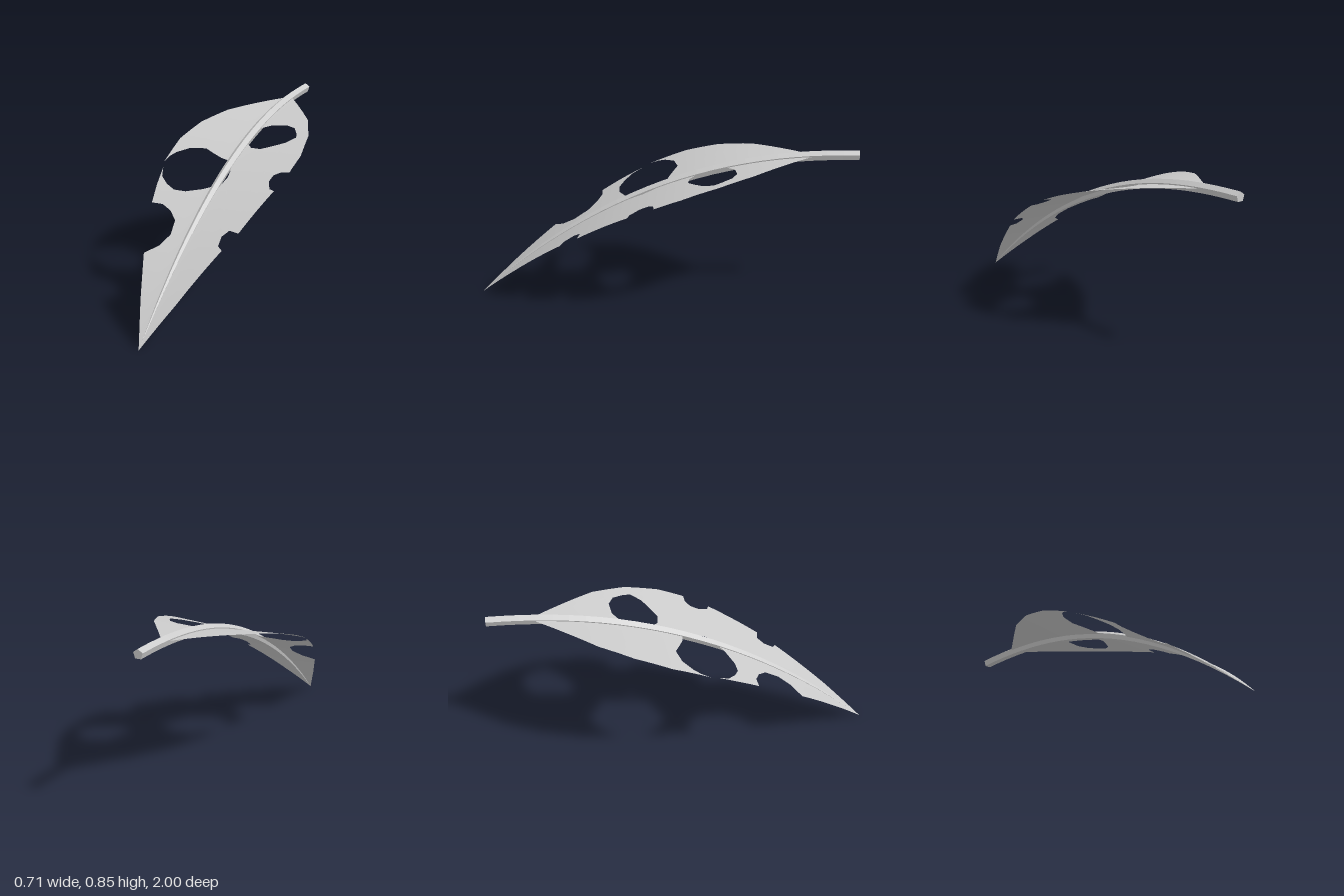
import * as THREE from 'three';
import { mergeVertices } from 'three/addons/utils/BufferGeometryUtils.js';

// height of the arched midrib at depth z
const arch = (z) => 0.835 - 0.825 * Math.pow(Math.max(0, (z + 1) / 2), 2.24);
// the blade follows the midrib and lifts gently toward both edges
const bladeHeight = (x, z) => arch(z) + 0.06 * Math.sqrt(x * x + 0.0002);

// leaf outline as [x, z], counter-clockwise seen from above
const rightEdge = [
  [0, 1], [0.095, 0.81], [0.21, 0.54],
  [0.18, 0.52], [0.175, 0.47], [0.2, 0.435], [0.254, 0.445], // lower bite
  [0.325, 0.18],
  [0.295, 0.17], [0.27, 0.12], [0.275, 0.075], [0.305, 0.05], [0.35, 0.045], // upper bite
  [0.355, -0.09], [0.32, -0.275], [0.243, -0.45], [0.16, -0.565], [0.02, -0.757],
];
const leftEdge = [
  [-0.02, -0.757], [-0.16, -0.565], [-0.243, -0.45], [-0.32, -0.275], [-0.357, -0.095], [-0.35, 0.095],
  // large hole that breaks through the edge
  [-0.34, 0.05], [-0.32, 0.015], [-0.265, -0.035], [-0.18, -0.058], [-0.115, -0.03], [-0.063, -0.01],
  [0, 0], [0.028, 0.07], [0.035, 0.12], [0.02, 0.19], [-0.02, 0.195], [-0.06, 0.22], [-0.14, 0.255],
  [-0.205, 0.26], [-0.26, 0.235], [-0.31, 0.195], [-0.335, 0.135],
  [-0.31, 0.25], [-0.28, 0.36],
  [-0.22, 0.355], [-0.16, 0.38], [-0.11, 0.425], [-0.095, 0.5], [-0.125, 0.565], [-0.185, 0.615], // wide bite
  [-0.095, 0.81],
];
const roundHole = [
  [0.01, -0.31], [0.075, -0.36], [0.155, -0.37], [0.21, -0.345], [0.245, -0.29], [0.26, -0.25],
  [0.225, -0.195], [0.175, -0.16], [0.11, -0.12], [0.055, -0.125], [0.01, -0.165],
];

const toPoints = (list) => list.map(([x, z]) => new THREE.Vector2(x, -z));

// split the longest edge until every triangle is small enough to bend
function subdivide(a, b, c, limit, out) {
  const ab = a.distanceTo(b), bc = b.distanceTo(c), ca = c.distanceTo(a);
  const longest = Math.max(ab, bc, ca);
  if (longest < limit) {
    out.push(a, b, c);
    return;
  }
  if (bc === longest) [a, b, c] = [b, c, a];
  else if (ca === longest) [a, b, c] = [c, a, b];
  const m = a.clone().add(b).multiplyScalar(0.5);
  subdivide(a, m, c, limit, out);
  subdivide(m, b, c, limit, out);
}

function bladeGeometry() {
  const shape = new THREE.Shape(toPoints([...rightEdge, ...leftEdge]));
  shape.holes.push(new THREE.Path(toPoints(roundHole)));
  const flat = new THREE.ShapeGeometry(shape);
  const pos = flat.attributes.position;
  const corner = (i) => new THREE.Vector2().fromBufferAttribute(pos, flat.index.getX(i));
  const points = [];
  for (let i = 0; i < flat.index.count; i += 3) {
    subdivide(corner(i), corner(i + 1), corner(i + 2), 0.06, points);
  }
  const verts = points.flatMap((p) => [p.x, bladeHeight(p.x, -p.y), -p.y]);
  let geo = new THREE.BufferGeometry();
  geo.setAttribute('position', new THREE.Float32BufferAttribute(verts, 3));
  geo = mergeVertices(geo, 1e-5);
  geo.computeVertexNormals();
  return geo;
}

// five-sided stem lofted along the arch, tapering to the tip
function midribGeometry() {
  const rows = 24, sides = 5;
  const verts = [], index = [];
  for (let r = 0; r <= rows; r++) {
    const t = r / rows, z = -1 + 2 * t;
    const radius = 0.026 * (1 - t ** 3) + 0.0003;
    const slope = Math.atan((arch(z + 0.01) - arch(z - 0.01)) / 0.02);
    // sections lean with the arch, except at the square-cut base
    const lean = r === 0 ? 0 : Math.sin(slope);
    for (let s = 0; s < sides; s++) {
      const a = (s / sides) * Math.PI * 2;
      const up = Math.cos(a) * radius;
      verts.push(Math.sin(a) * radius, arch(z) + up * Math.cos(slope), z - up * lean);
    }
  }
  for (let r = 0; r < rows; r++) {
    for (let s = 0; s < sides; s++) {
      const n = (s + 1) % sides;
      const a = r * sides + s, b = r * sides + n, c = a + sides, d = b + sides;
      index.push(a, c, b, b, c, d);
    }
  }
  // end caps
  const last = rows * sides;
  for (let s = 1; s < sides - 1; s++) {
    index.push(0, s, s + 1, last, last + s + 1, last + s);
  }
  const geo = new THREE.BufferGeometry();
  geo.setAttribute('position', new THREE.Float32BufferAttribute(verts, 3));
  geo.setIndex(index);
  geo.computeVertexNormals();
  return geo;
}

export function createModel() {
  const group = new THREE.Group();
  group.name = 'leaf';

  const blade = new THREE.Mesh(
    bladeGeometry(),
    new THREE.MeshStandardMaterial({ color: 0xcccccc, side: THREE.DoubleSide })
  );
  blade.name = 'blade';

  const midrib = new THREE.Mesh(
    midribGeometry(),
    new THREE.MeshStandardMaterial({ color: 0xcccccc, flatShading: true })
  );
  midrib.name = 'midrib';

  group.add(blade, midrib);
  return group;
}
